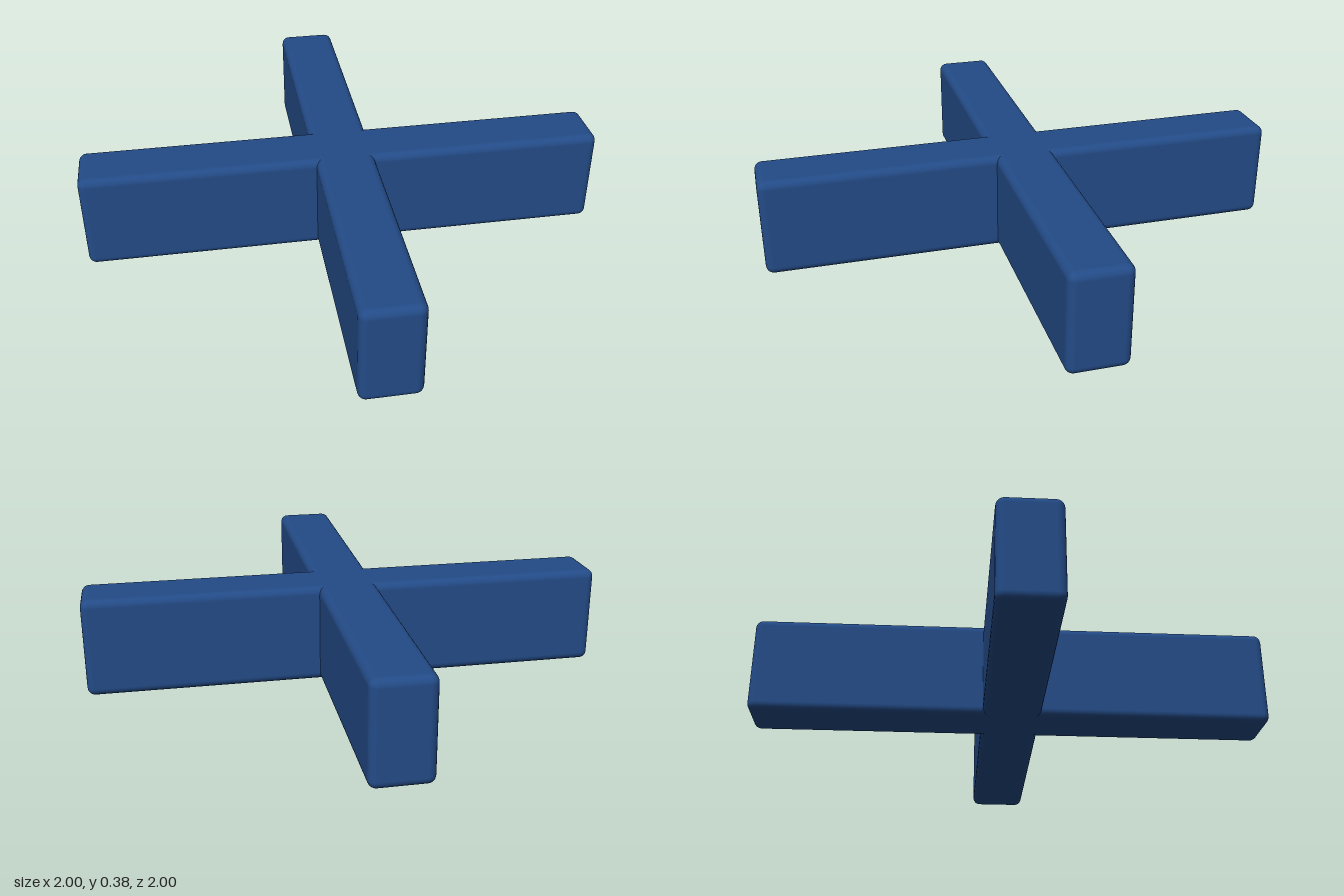
import * as THREE from 'three';
import { RoundedBoxGeometry } from 'three/addons/geometries/RoundedBoxGeometry.js';

const LENGTH = 2, HEIGHT = 0.38, WIDTH = 0.225, RADIUS = 0.03;

export function createModel() {
  const group = new THREE.Group();
  group.name = 'crossBlock';

  const blue = new THREE.MeshStandardMaterial({ color: 0x234b87 });
  blue.name = 'navy blue';

  // Two identical soft-edged bars crossing at right angles
  const barGeometry = new RoundedBoxGeometry(LENGTH, HEIGHT, WIDTH, 3, RADIUS);
  ['sideToSideBar', 'frontToBackBar'].forEach((name, i) => {
    const bar = new THREE.Mesh(barGeometry, blue);
    bar.name = name;
    bar.position.y = HEIGHT / 2;
    bar.rotation.y = i * Math.PI / 2;
    group.add(bar);
  });

  return group;
}
